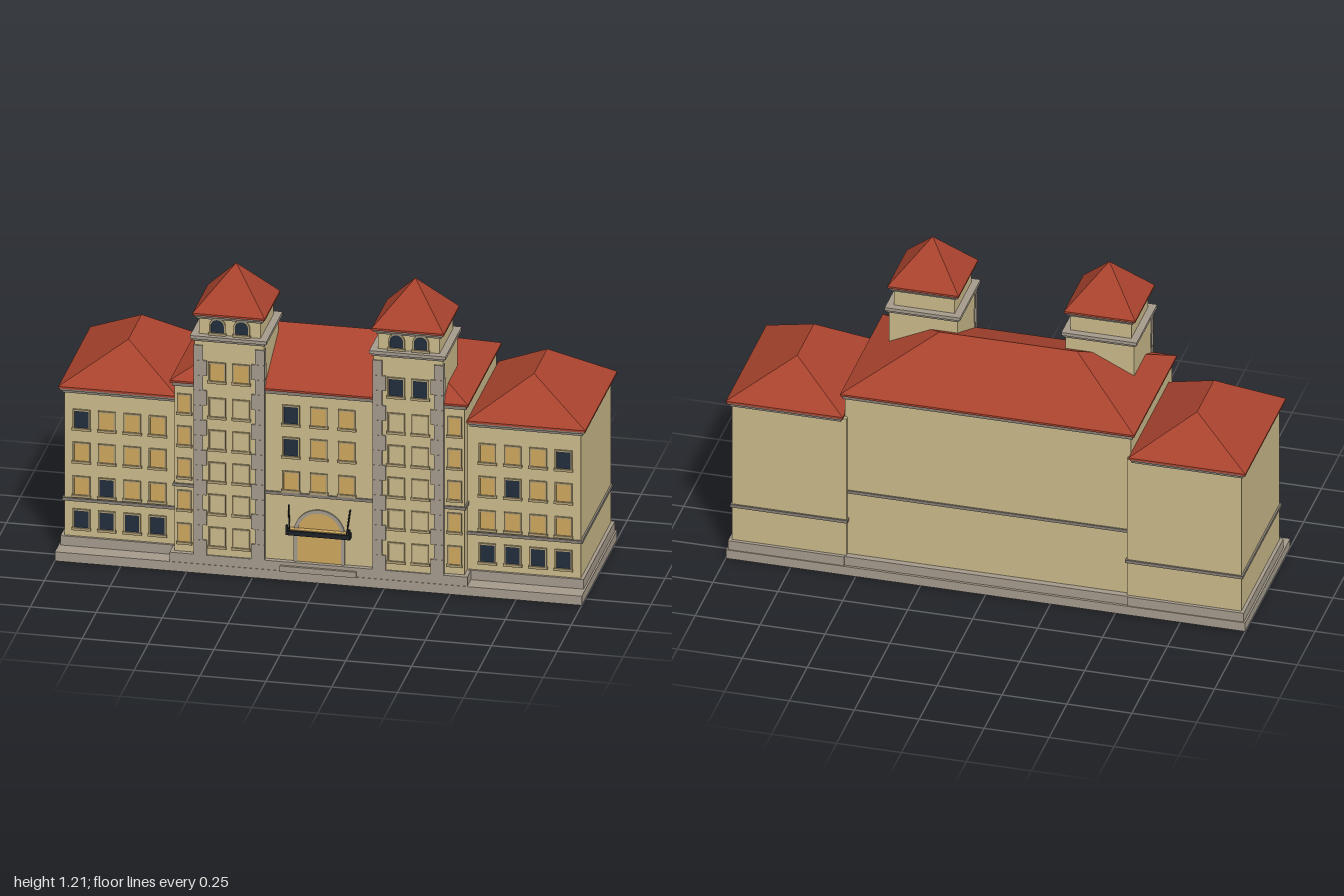
import * as THREE from 'three';

const mat = (name, color, extra = {}) => {
  const m = new THREE.MeshStandardMaterial({ color, ...extra });
  m.name = name;
  return m;
};

export function createModel() {
  const wall = mat('sandWall', 0xcbba8a);
  const stone = mat('greyStone', 0xa59b8c);
  const trim = mat('greyTrim', 0x857e74);
  const roof = mat('redTile', 0xa9432e);
  const lit = mat('litGlass', 0xcfa75e);
  const dark = mat('darkGlass', 0x222e3e);
  const iron = mat('blackIron', 0x1d2126);
  const frameMat = mat('windowFrame', 0xad9c74);

  const model = new THREE.Group();
  model.name = 'building';

  const add = (parent, name, geo, material) => {
    const m = new THREE.Mesh(geo, material);
    m.name = name;
    parent.add(m);
    return m;
  };
  // Box given by its extents on each axis
  const box = (parent, name, material, [x0, x1], [y0, y1], [z0, z1]) => {
    const m = add(parent, name, new THREE.BoxGeometry(x1 - x0, y1 - y0, z1 - z0), material);
    m.position.set((x0 + x1) / 2, (y0 + y1) / 2, (z0 + z1) / 2);
    return m;
  };
  const group = (name) => {
    const g = new THREE.Group();
    g.name = name;
    model.add(g);
    return g;
  };

  // Hipped roof: eave rectangle rising to a ridge from point a to point b
  const hipRoof = (parent, [x0, x1], [z0, z1], y, a, b) => {
    const A = [x0, y, z1], B = [x1, y, z1], C = [x1, y, z0], D = [x0, y, z0];
    const alongX = a[0] !== b[0];
    const tris = alongX
      ? [A, B, b, A, b, a, B, C, b, C, D, a, C, a, b, D, A, a]
      : [A, B, b, B, C, a, B, a, b, C, D, a, D, A, b, D, b, a];
    tris.push(A, D, C, A, C, B);
    const geo = new THREE.BufferGeometry();
    geo.setAttribute('position', new THREE.Float32BufferAttribute(tris.flat(), 3));
    geo.computeVertexNormals();
    add(parent, 'hipRoof', geo, roof);
    box(parent, 'roofEdge', roof, [x0, x1], [y - 0.008, y], [z0, z1]);
  };

  // Outline of an opening, with a round head if arched
  const outline = (Type, w, h, arched) => {
    const s = new Type();
    s.moveTo(-w / 2, 0);
    s.lineTo(w / 2, 0);
    if (arched) {
      s.lineTo(w / 2, h - w / 2);
      s.absarc(0, h - w / 2, w / 2, 0, Math.PI, false);
    } else {
      s.lineTo(w / 2, h);
      s.lineTo(-w / 2, h);
    }
    s.closePath();
    return s;
  };
  // Framed window: thin pane, raised surround and sill; y is the sill height
  const windowAt = (parent, x, y, z, w, h, pane, arched = false, t = 0.006, surround = frameMat) => {
    const g = new THREE.Group();
    g.name = 'window';
    const glass = add(g, 'pane', new THREE.ShapeGeometry(outline(THREE.Shape, w, h, arched)), pane);
    glass.position.z = 0.003;
    const shape = outline(THREE.Shape, w + 2 * t, h + t, arched);
    shape.holes.push(outline(THREE.Path, w, h, arched));
    add(g, 'surround', new THREE.ExtrudeGeometry(shape, { depth: 0.007, bevelEnabled: false }), surround);
    if (t < 0.01) box(g, 'sill', frameMat, [-w / 2 - 0.009, w / 2 + 0.009], [-0.009, 0.001], [0, 0.01]);
    g.position.set(x, y, z);
    parent.add(g);
  };

  // Stepped base
  const base = group('base');
  box(base, 'lowerPlinth', stone, [-1, 1], [0, 0.037], [-0.32, 0.312]);
  box(base, 'centrePlinth', stone, [-0.565, 0.565], [0.037, 0.074], [-0.31, 0.31]);
  box(base, 'doorStep', stone, [-0.145, 0.145], [0.037, 0.06], [0.28, 0.32]);

  // Side wings
  const floors = [0.545, 0.412, 0.275, 0.142];
  const darkPanes = { '-1': ['0,3', '2,2'], '1': ['0,3', '1,1'] };
  for (const s of [-1, 1]) {
    const wing = group(s > 0 ? 'leftWing' : 'rightWing');
    const span = (a, b) => (s > 0 ? [a, b] : [-b, -a]);
    box(wing, 'wingPlinth', stone, span(0.545, 0.993), [0.037, 0.075], [-0.316, 0.245]);
    box(wing, 'wingWalls', wall, span(0.54, 0.98), [0.075, 0.665], [-0.302, 0.235]);
    box(wing, 'wingBand', trim, span(0.535, 0.987), [0.217, 0.229], [-0.309, 0.242]);
    box(wing, 'wingCornice', trim, span(0.56, 0.988), [0.655, 0.667], [-0.31, 0.243]);
    box(wing, 'wingEaves', trim, span(0.555, 0.995), [0.665, 0.674], [-0.316, 0.249]);
    hipRoof(wing, span(0.55, 1), [-0.32, 0.25], 0.68, [s * 0.77, 0.82, -0.155], [s * 0.77, 0.82, 0.08]);
    floors.forEach((y, row) => {
      for (let i = 0; i < 4; i++) {
        const isDark = row === 3 || darkPanes[s].includes(`${row},${i}`);
        windowAt(wing, s * (0.626 + i * 0.0963), y - 0.032, 0.235, 0.054, 0.07, isDark ? dark : lit);
      }
    });
  }

  // Main block
  const main = group('mainBlock');
  box(main, 'mainWalls', wall, [-0.55, 0.55], [0.074, 0.755], [-0.285, 0.29]);
  box(main, 'mainBand', trim, [-0.556, 0.556], [0.337, 0.349], [-0.291, 0.297]);
  box(main, 'mainCornice', trim, [-0.558, 0.558], [0.744, 0.758], [-0.292, 0.298]);
  hipRoof(main, [-0.566, 0.566], [-0.298, 0.303], 0.766, [-0.265, 0.91, 0.002], [0.265, 0.91, 0.002]);
  [0.66, 0.53, 0.393].forEach((y, row) => {
    [-0.108, -0.002, 0.104].forEach((x, i) =>
      windowAt(main, x, y - 0.034, 0.29, 0.054, 0.07, i === 0 && row < 2 ? dark : lit));
  });
  const levels = [0.67, 0.54, 0.41, 0.28, 0.147];
  for (const s of [-1, 1])
    for (const y of levels) windowAt(main, s * 0.513, y - 0.034, 0.29, 0.042, 0.07, lit);

  // Arched entrance with hung canopy
  const entrance = group('entrance');
  windowAt(entrance, 0, 0.074, 0.29, 0.165, 0.2, lit, true, 0.014, stone);
  box(entrance, 'doorTransom', frameMat, [-0.083, 0.083], [0.182, 0.19], [0.29, 0.299]);
  box(entrance, 'canopy', iron, [-0.122, 0.122], [0.188, 0.206], [0.29, 0.322]);
  box(entrance, 'canopyTop', lit, [-0.114, 0.114], [0.206, 0.209], [0.29, 0.314]);
  for (const s of [-1, 1]) {
    const rod = new THREE.LineCurve3(
      new THREE.Vector3(s * 0.108, 0.2, 0.318), new THREE.Vector3(s * 0.117, 0.3, 0.292));
    add(entrance, 'canopyRod', new THREE.TubeGeometry(rod, 1, 0.003, 6), iron);
    box(entrance, 'canopyPost', iron, [s * 0.118 - 0.004, s * 0.118 + 0.004], [0.2, 0.228], [0.313, 0.321]);
  }

  // Twin towers
  for (const s of [-1, 1]) {
    const tower = group(s > 0 ? 'leftTower' : 'rightTower');
    const cx = s * 0.34;
    const ring = (name, m, half, y, z) => box(tower, name, m, [cx - half, cx + half], y, z);
    ring('towerWalls', wall, 0.132, [0.074, 0.95], [0.047, 0.304]);
    ring('towerCorniceLower', trim, 0.137, [0.94, 0.951], [0.04, 0.314]);
    ring('towerCornice', stone, 0.145, [0.95, 0.963], [0.033, 0.322]);
    ring('belfryWalls', wall, 0.117, [0.96, 1.035], [0.061, 0.295]);
    ring('belfryCornice', trim, 0.124, [1.026, 1.037], [0.054, 0.302]);
    ring('belfryEaves', trim, 0.131, [1.035, 1.045], [0.046, 0.31]);
    const peak = [cx, 1.21, 0.178];
    hipRoof(tower, [cx - 0.137, cx + 0.137], [0.041, 0.315], 1.051, peak, peak);

    // Corner quoins, alternately long and short
    for (const e of [-1, 1]) {
      for (let i = 0; i < 14; i++) {
        const w = i % 2 ? 0.036 : 0.05;
        const outer = cx + e * 0.135, inner = cx + e * (0.135 - w);
        box(tower, 'quoin', stone, [Math.min(outer, inner), Math.max(outer, inner)],
          [0.074 + i * 0.0605, 0.134 + i * 0.0605], [i % 2 ? 0.284 : 0.276, 0.31]);
      }
      const x = cx + e * 0.046;
      windowAt(tower, x, 0.78, 0.304, 0.054, 0.07, s > 0 ? dark : lit);
      for (const y of levels) windowAt(tower, x, y - 0.034, 0.304, 0.054, 0.07, wall);
      windowAt(tower, x, 0.971, 0.295, 0.05, 0.054, dark, true);
    }
  }
  return model;
}
